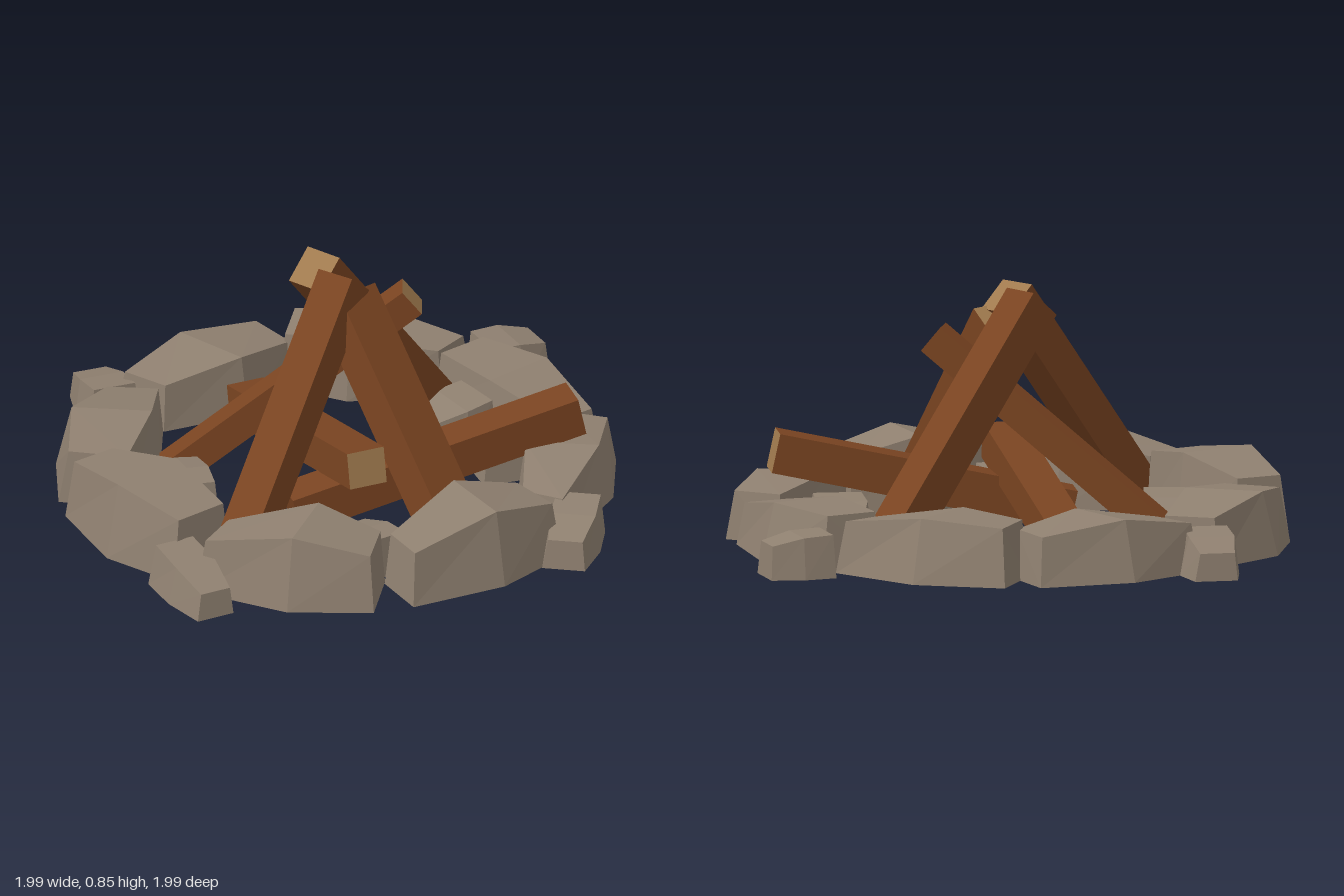
import * as THREE from 'three';

const GROUND = 0.04;

// Stone lofted over three cross-sections, open underneath.
// plan: outer a, mid, b then inner b, mid, a (x, z pairs); heights: tops at a, mid, b
function stoneGeometry(plan, heights) {
  const pt = (i) => new THREE.Vector2(plan[i * 2], plan[i * 2 + 1]);
  const outer = [pt(0), pt(1), pt(2)], inner = [pt(5), pt(4), pt(3)];
  const sections = outer.map((o, i) => {
    const n = inner[i];
    const ot = o.clone().lerp(n, 0.15).lerp(outer[1], i === 1 ? 0 : 0.06);
    const it = n.clone().lerp(o, 0.08).lerp(inner[1], i === 1 ? 0 : 0.06);
    const h = heights[i];
    return [[o.x, GROUND, o.y], [ot.x, h, ot.y], [it.x, h, it.y], [n.x, GROUND, n.y]];
  });
  const pos = [];
  const quad = (a, b, c, d) => pos.push(...a, ...b, ...c, ...a, ...c, ...d);
  for (let s = 0; s < 2; s++) {
    const a = sections[s], b = sections[s + 1];
    for (let j = 0; j < 3; j++) quad(a[j], b[j], b[j + 1], a[j + 1]);
  }
  quad(...sections[0]);
  quad(...sections[2].slice().reverse());
  const g = new THREE.BufferGeometry();
  g.setAttribute('position', new THREE.Float32BufferAttribute(pos, 3));
  g.computeVertexNormals();
  return g;
}

// Plan outline of a small tapered stone running from p to q
function smallPlan(px, pz, qx, qz, wp, wq) {
  const d = new THREE.Vector2(qx - px, qz - pz).normalize();
  const nx = -d.y / 2, nz = d.x / 2;
  const mx = px * 0.5 + qx * 0.5, mz = pz * 0.5 + qz * 0.5;
  const wm = Math.max(wp, wq) * 1.08;
  return [
    px + nx * wp, pz + nz * wp, mx + nx * wm, mz + nz * wm, qx + nx * wq, qz + nz * wq,
    qx - nx * wq, qz - nz * wq, mx - nx * wm, mz - nz * wm, px - nx * wp, pz - nz * wp,
  ];
}

export function createModel() {
  const root = new THREE.Group();
  root.name = 'campfire';

  const stone = new THREE.MeshStandardMaterial({ color: 0x8f8070, flatShading: true, side: THREE.DoubleSide });
  stone.name = 'stone';
  const bark = new THREE.MeshStandardMaterial({ color: 0x7a4421, flatShading: true });
  bark.name = 'bark';
  const cutWood = new THREE.MeshStandardMaterial({ color: 0xa07a4e, flatShading: true });
  cutWood.name = 'cut wood';

  const addStone = (parent, name, plan, heights) => {
    const m = new THREE.Mesh(stoneGeometry(plan, heights), stone);
    m.name = name;
    parent.add(m);
  };

  // Ring of large stones
  const ring = new THREE.Group();
  ring.name = 'stoneRing';
  root.add(ring);
  const large = {
    front: [[-0.39, 0.83, -0.07, 0.905, 0.2, 0.865, 0.2, 0.64, -0.03, 0.57, -0.36, 0.645], [0.22, 0.29, 0.23]],
    frontLeft: [[0.28, 0.79, 0.59, 0.65, 0.76, 0.455, 0.65, 0.285, 0.37, 0.43, 0.21, 0.635], [0.18, 0.23, 0.2]],
    left: [[0.775, 0.355, 0.855, 0.04, 0.775, -0.23, 0.56, -0.23, 0.54, 0.05, 0.605, 0.345], [0.18, 0.23, 0.22]],
    backLeft: [[0.745, -0.26, 0.63, -0.57, 0.4, -0.77, 0.235, -0.62, 0.34, -0.41, 0.59, -0.23], [0.21, 0.25, 0.23]],
    back: [[0.295, -0.82, -0.02, -0.88, -0.3, -0.81, -0.25, -0.62, 0.035, -0.54, 0.285, -0.6], [0.2, 0.24, 0.2]],
    backRight: [[-0.39, -0.77, -0.66, -0.67, -0.82, -0.46, -0.67, -0.275, -0.42, -0.43, -0.245, -0.63], [0.2, 0.25, 0.22]],
    right: [[-0.865, -0.37, -0.945, -0.06, -0.88, 0.21, -0.65, 0.21, -0.605, -0.085, -0.68, -0.36], [0.24, 0.29, 0.25]],
    frontRight: [[-0.87, 0.305, -0.73, 0.6, -0.515, 0.78, -0.35, 0.635, -0.44, 0.42, -0.69, 0.23], [0.22, 0.285, 0.23]],
  };
  for (const [name, [plan, h]] of Object.entries(large)) addStone(ring, name + 'Stone', plan, h);

  // Small filler stones: from x,z to x,z, two widths, two end heights
  const small = [
    [-0.34, -0.75, -0.265, -0.98, 0.18, 0.14, 0.18, 0.13],
    [0.77, -0.25, 0.98, -0.21, 0.19, 0.15, 0.18, 0.15],
    [0.36, 0.75, 0.15, 0.935, 0.18, 0.14, 0.18, 0.14],
    [-0.87, 0.18, -0.93, 0.48, 0.17, 0.13, 0.18, 0.13],
    [-0.45, -0.32, -0.58, -0.07, 0.16, 0.18, 0.14, 0.18],
    [-0.32, 0.61, -0.3, 0.39, 0.2, 0.15, 0.18, 0.14],
    [0.41, 0.36, 0.5, 0.13, 0.2, 0.15, 0.18, 0.14],
    [0.57, -0.02, 0.36, -0.04, 0.22, 0.15, 0.17, 0.13],
  ];
  for (const [px, pz, qx, qz, wp, wq, hp, hq] of small) {
    addStone(ring, 'smallStone', smallPlan(px, pz, qx, qz, wp, wq), [hp, (hp + hq) / 2 + 0.01, hq]);
  }

  // Square logs running from foot to pale cut tip
  const logs = new THREE.Group();
  logs.name = 'logs';
  root.add(logs);
  const addLog = (name, foot, tip, width, depth, roll = 0) => {
    const a = new THREE.Vector3(...foot), b = new THREE.Vector3(...tip);
    const g = new THREE.BoxGeometry(width, depth, a.distanceTo(b));
    const m = new THREE.Mesh(g, [bark, bark, bark, bark, cutWood, bark]);
    m.position.copy(a).add(b).multiplyScalar(0.5);
    m.lookAt(b);
    m.rotateZ(roll);
    m.name = name;
    logs.add(m);
  };
  addLog('rightLeaningLog', [-0.68, 0.055, 0.27], [-0.07, 0.825, 0.08], 0.13, 0.13);
  addLog('leftLeaningLog', [0.53, 0.055, -0.18], [-0.1, 0.825, -0.035], 0.13, 0.13);
  addLog('frontLeaningLog', [-0.03, 0.1, 0.59], [-0.055, 0.755, 0.07], 0.165, 0.13, 0.1);
  addLog('backLeaningLog', [-0.435, 0.065, -0.365], [0.17, 0.705, 0.135], 0.1, 0.1);
  addLog('lyingLogFront', [-0.34, 0.1, 0.14], [0.565, 0.31, 0.49], 0.13, 0.13);
  addLog('lyingLogBack', [0.03, 0.1, -0.54], [-0.21, 0.3, 0.37], 0.13, 0.12);

  return root;
}
